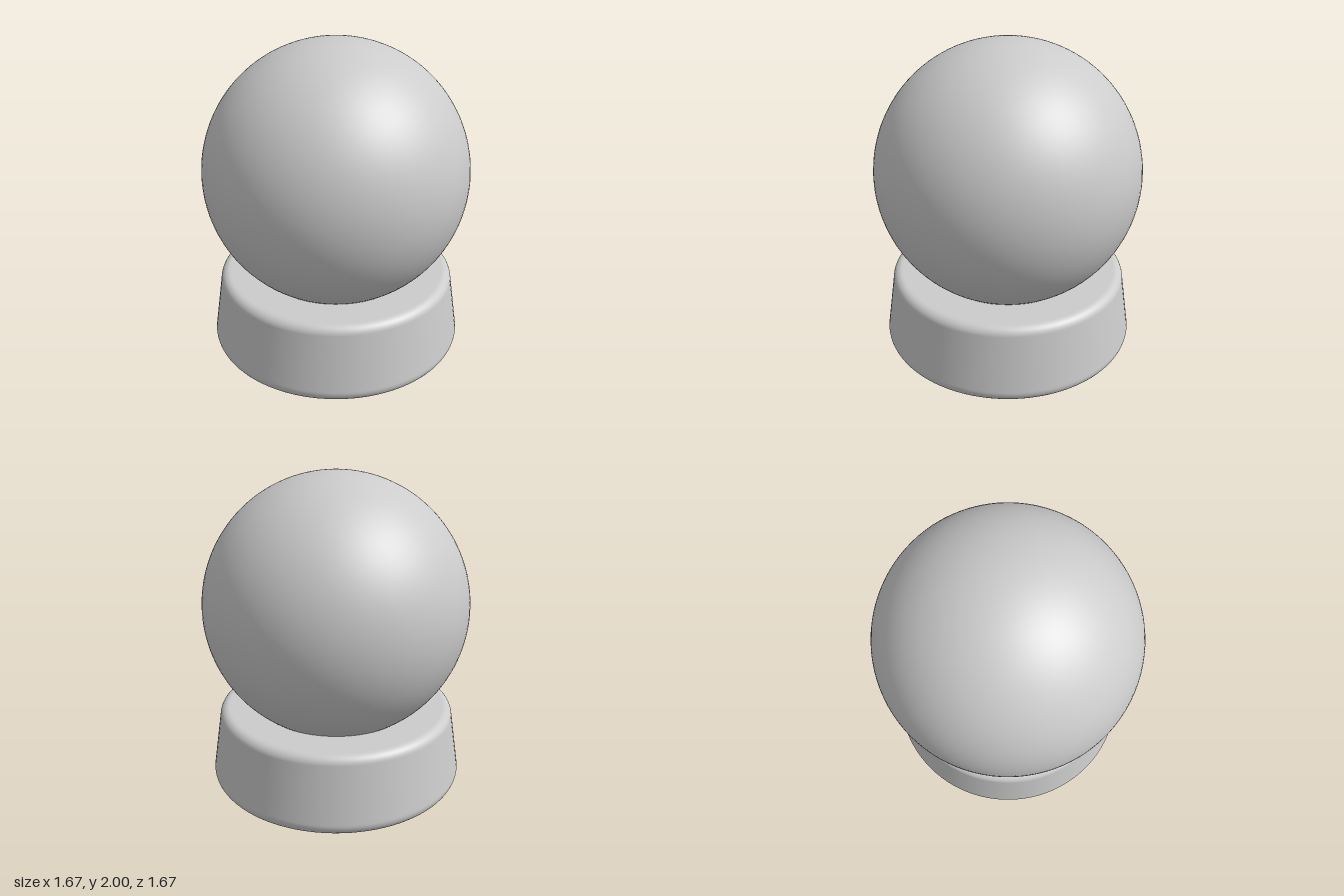
import * as THREE from 'three';

const material = new THREE.MeshStandardMaterial({ color: 0xcccccc });

// Points of a fillet arc in the lathe profile, angles in radians
function arc(cx, cy, r, from, to, steps = 12) {
  return Array.from({ length: steps + 1 }, (_, i) => {
    const a = from + (to - from) * i / steps;
    return new THREE.Vector2(cx + r * Math.cos(a), cy + r * Math.sin(a));
  });
}

export function createModel() {
  const group = new THREE.Group();
  group.name = 'snowGlobe';

  // Globe resting in the base
  const globe = new THREE.Mesh(new THREE.SphereGeometry(0.835, 96, 64), material);
  globe.name = 'globe';
  globe.position.y = 1.165;
  group.add(globe);

  // Tapered round base with filleted rims; the extra rings keep the flat faces and wall crisp
  const taper = 0.152;
  const profile = [
    new THREE.Vector2(0, 0),
    new THREE.Vector2(0.735, 0),
    ...arc(0.745, 0.07, 0.07, -Math.PI / 2, taper),
    new THREE.Vector2(0.8125, 0.09),
    new THREE.Vector2(0.7605, 0.436),
    ...arc(0.7, 0.437, 0.06, taper, Math.PI / 2),
    new THREE.Vector2(0.69, 0.497),
    new THREE.Vector2(0, 0.497),
  ];
  const base = new THREE.Mesh(new THREE.LatheGeometry(profile, 96), material);
  base.name = 'base';
  group.add(base);

  return group;
}
